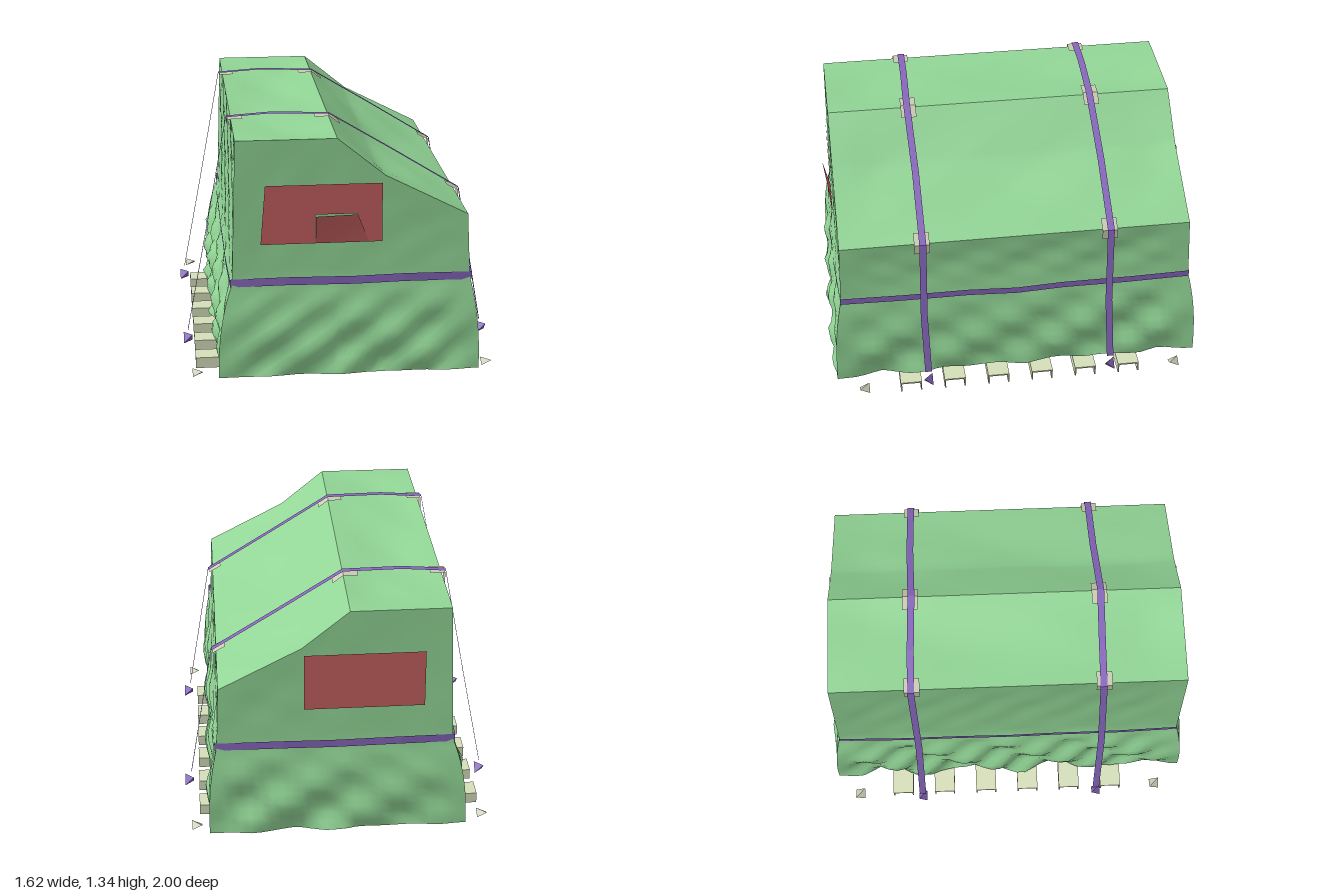
import * as THREE from 'three';

const mat = (color) => new THREE.MeshStandardMaterial({ color, side: THREE.DoubleSide });
const lerp = THREE.MathUtils.lerp;

// Smooth surface from a grid of points f(u, v)
function sheet(us, vs, f) {
  const pos = [], idx = [], n = us.length;
  for (const v of vs) for (const u of us) pos.push(...f(u, v));
  for (let j = 0; j < vs.length - 1; j++) {
    for (let i = 0; i < n - 1; i++) {
      const a = j * n + i;
      idx.push(a, a + 1, a + n + 1, a, a + n + 1, a + n);
    }
  }
  const g = new THREE.BufferGeometry();
  g.setAttribute('position', new THREE.Float32BufferAttribute(pos, 3));
  g.setIndex(idx);
  g.computeVertexNormals();
  return g;
}
const steps = (a, b, n) => Array.from({ length: n + 1 }, (_, i) => lerp(a, b, i / n));

// Slanted triangle waves, in -1..1, for cloth folds
const tri = (t) => 4 * Math.abs(t - Math.floor(t + 0.5)) - 1;
const folds = (a, b, s) =>
  0.5 * tri(a * 1.3 + b * 0.9 + s) + 0.3 * tri(a * 2.1 - b * 1.4 + s * 1.7) + 0.2 * Math.sin(a * 9 + b * 5 + s * 3);

// Roof outline: flat top, then a sagging slope
const roofX = [-0.545, -0.04, 0.2, 0.62], roofY = [1.31, 1.31, 1.115, 0.9];
function roofHeight(x) {
  let i = 0;
  while (i < 2 && x > roofX[i + 1]) i++;
  return lerp(roofY[i], roofY[i + 1], (x - roofX[i]) / (roofX[i + 1] - roofX[i]));
}

// Bounds of the cover at level v: 0 hem, 0.5 belt, 1 roof edge
function bounds(v) {
  const flare = v < 0.5 ? 1 - Math.pow(v * 2, 2.5) : 0, t = Math.max(0, v * 2 - 1);
  return {
    flare, t,
    x0: -0.57 - 0.075 * flare + 0.025 * t,
    x1: 0.635 + 0.05 * flare - 0.015 * t,
    z: 0.925 + 0.045 * flare - 0.01 * t,
  };
}
function levelY(v, top, wobble) {
  return v < 0.5 ? lerp(0.085 + 0.012 * wobble, 0.57, v * 2) : lerp(0.57, top, v * 2 - 1);
}

function createCover() {
  const cover = new THREE.Group();
  cover.name = 'cover';
  const green = mat(0x92d696);
  const add = (name, g) => {
    const m = new THREE.Mesh(g, green);
    m.name = name;
    cover.add(m);
  };
  const levels = steps(0, 1, 22);
  const endUs = [];
  for (let i = 0; i < 3; i++) endUs.push(...steps(roofX[i], roofX[i + 1], 9).slice(i ? 1 : 0));

  // End walls
  for (const s of [1, -1]) {
    add(s > 0 ? 'frontWall' : 'backWall', sheet(endUs, levels, (x, v) => {
      const b = bounds(v), u = (x + 0.545) / 1.165;
      const env = Math.min(1, u * 7, (1 - u) * 7), w = folds(u * 2, v * 3, s + 2.3);
      const d = env * (0.05 * b.flare * w - 0.01 * Math.sin(Math.PI * b.t) * (1 + w) * 0.5);
      return [lerp(b.x0, b.x1, u), levelY(v, roofHeight(x), w * env), s * (b.z + d)];
    }));
  }
  // Side walls
  for (const s of [1, -1]) {
    add(s > 0 ? 'leftWall' : 'rightWall', sheet(steps(0, 1, 40), levels, (u, v) => {
      const b = bounds(v), env = Math.min(1, u * 9, (1 - u) * 9);
      const w = folds(u * 3, v * 3, s * 1.6 + 4);
      const d = env * (0.055 * b.flare * (w - 0.25) - 0.02 * Math.sin(Math.PI * b.t) * (1 + w) * 0.5);
      return [s > 0 ? b.x1 + d : b.x0 - d, levelY(v, s > 0 ? 0.9 : 1.31, w * env), lerp(-b.z, b.z, u)];
    }));
  }
  // Roof panels with a shallow sag
  const zs = steps(-0.915, 0.915, 30);
  const roof = (x, z) => {
    const edge = Math.min(1, (0.915 - Math.abs(z)) * 5);
    const a = x < -0.04 ? (x + 0.545) / 0.505 : (x + 0.04) / 0.66;
    const sag = 0.018 * edge * Math.sin(Math.PI * a) * (1 + folds(x * 0.9, z * 0.8, 1.1));
    return [x, roofHeight(x) - sag, z];
  };
  add('flatRoof', sheet(endUs.slice(0, 10), zs, roof));
  add('slopingRoof', sheet(endUs.slice(9), zs, roof));
  return cover;
}

// Ribbon along points, extending half a width each way along `side`
function ribbon(points, side, width) {
  const parts = points.slice(0, -1).map((p, i) => [p, points[i + 1]]);
  const pos = [];
  const at = (p, k) => p.map((c, i) => c + side[i] * width * 0.5 * k);
  for (const [a, b] of parts) {
    const q = [at(a, -1), at(b, -1), at(b, 1), at(a, 1)];
    for (const i of [0, 1, 2, 0, 2, 3]) pos.push(...q[i]);
  }
  const g = new THREE.BufferGeometry();
  g.setAttribute('position', new THREE.Float32BufferAttribute(pos, 3));
  g.computeVertexNormals();
  return g;
}

export function createModel() {
  const model = new THREE.Group();
  const purple = mat(0x8766bd), grey = mat(0xc9ccb4), wood = mat(0xd6dfba), red = mat(0xc45f60);
  const add = (name, geometry, material, x = 0, y = 0, z = 0) => {
    const m = new THREE.Mesh(geometry, material);
    m.name = name;
    m.position.set(x, y, z);
    model.add(m);
    return m;
  };

  model.add(createCover());

  // Pallet channels, open underneath
  const channel = new THREE.Shape();
  [[-0.057, 0], [-0.057, 0.058], [0.057, 0.058], [0.057, 0], [0.05, 0], [0.05, 0.05], [-0.05, 0.05], [-0.05, 0]]
    .forEach(([x, y], i) => (i ? channel.lineTo(x, y) : channel.moveTo(x, y)));
  const beam = new THREE.ExtrudeGeometry(channel, { depth: 1.49, bevelEnabled: false });
  beam.rotateY(Math.PI / 2);
  for (let i = 0; i < 6; i++) add('palletBeam', beam, wood, -0.755, 0, 0.58 - i * 0.237);

  // Belt around the cover
  for (const s of [1, -1]) {
    const end = [[-0.58, 0.575, 0.925], [-0.3, 0.585, 0.945], [0.05, 0.578, 0.94], [0.3, 0.585, 0.945], [0.645, 0.575, 0.925]];
    add('beltEnd', ribbon(end.map(([x, y, z]) => [x, y, z * s]), [0, 1, 0], 0.042), purple);
    const x = s > 0 ? 0.645 : -0.58;
    const side = [-0.925, -0.6, -0.25, 0, 0.25, 0.6, 0.925]
      .map((z, i) => [x + s * (i % 6 ? 0.008 : 0), 0.58 - (i === 3 ? 0.012 : 0), z]);
    add('beltSide', ribbon(side, [0, 1, 0], 0.036), purple);
  }

  // Cross straps with corner protectors and end hooks
  const path = [[-0.79, 0.16], [-0.68, 0.73], [-0.568, 1.322], [-0.34, 1.338], [-0.04, 1.33], [0.3, 1.122],
    [0.645, 0.908], [0.715, 0.5], [0.775, 0.16]];
  const protectors = [
    [[-0.562, 1.25], [-0.562, 1.318], [-0.485, 1.32]],
    [[-0.115, 1.32], [-0.04, 1.322], [0.015, 1.28]],
    [[0.575, 0.938], [0.638, 0.903], [0.638, 0.85]],
  ];
  const hook = new THREE.TetrahedronGeometry(0.04);
  for (const z of [0.49, -0.49]) {
    const pts = path.map(([x, y], i) => [x, y, z + 0.007 * Math.sin(i * 2)]);
    add('crossStrap', ribbon(pts, [0, 0, 1], 0.036), purple);
    for (const p of protectors) {
      add('cornerProtector', ribbon(p.map(([x, y]) => [x, y, z]), [0, 0, 1], 0.08), grey);
    }
    for (const x of [-0.79, 0.785]) add('strapHook', hook, purple, x, 0.115, z);
  }

  // Loose wedges at the corners of the pallet
  const wedge = new THREE.TetrahedronGeometry(0.045).scale(1, 0.5, 1);
  for (const x of [-0.75, 0.75]) for (const z of [-0.85, 0.83]) add('cornerWedge', wedge, grey, x, 0.06, z);

  // Panels on both ends; the front one has a notch with a tilted flap
  const notched = new THREE.Shape();
  [[-0.425, 0.775], [-0.15, 0.775], [-0.15, 0.925], [0.06, 0.925], [0.12, 0.775], [0.185, 0.775], [0.185, 1.08], [-0.4, 1.08]]
    .forEach(([x, y], i) => (i ? notched.lineTo(x, y) : notched.moveTo(x, y)));
  add('frontPanel', new THREE.ShapeGeometry(notched), red, 0, 0, 0.928);
  add('panelFlap', sheet([0, 1], [0, 1], (u, v) =>
    [lerp(-0.15, lerp(0.12, 0.06, v), u), lerp(0.775, 0.925, v), 0.928 + 0.035 * v * (1 - u * 0.5)]), red);
  add('backPanel', new THREE.PlaneGeometry(0.61, 0.305).rotateY(Math.PI), red, -0.115, 0.928, -0.928);

  return model;
}
